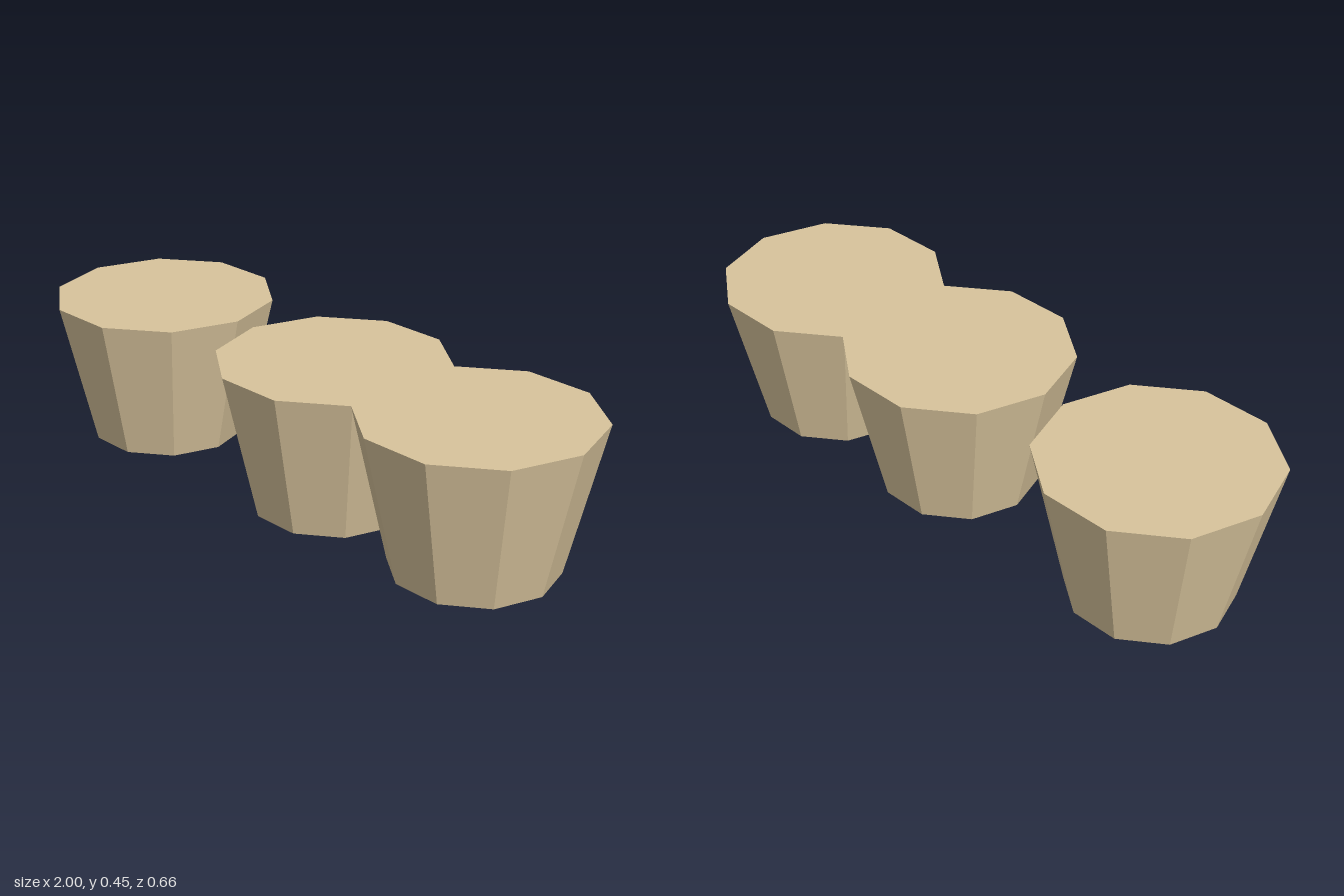
import * as THREE from 'three';

export function createModel() {
  const model = new THREE.Group();
  model.name = 'stumps';
  const tan = new THREE.MeshStandardMaterial({ color: 0xd8c49c, flatShading: true });
  tan.name = 'tan';

  // Ten-sided tapered stump, wider at the top, with corners on the x axis
  const height = 0.45;
  const geometry = new THREE.CylinderGeometry(0.345, 0.242, height, 10, 1, false, Math.PI / 2);

  // One stump stands alone, the other two overlap
  const stumps = { rightStump: -0.655, middleStump: 0.103, leftStump: 0.655 };
  for (const [name, x] of Object.entries(stumps)) {
    const stump = new THREE.Mesh(geometry, tan);
    stump.name = name;
    stump.position.set(x, height / 2, 0);
    model.add(stump);
  }
  return model;
}
